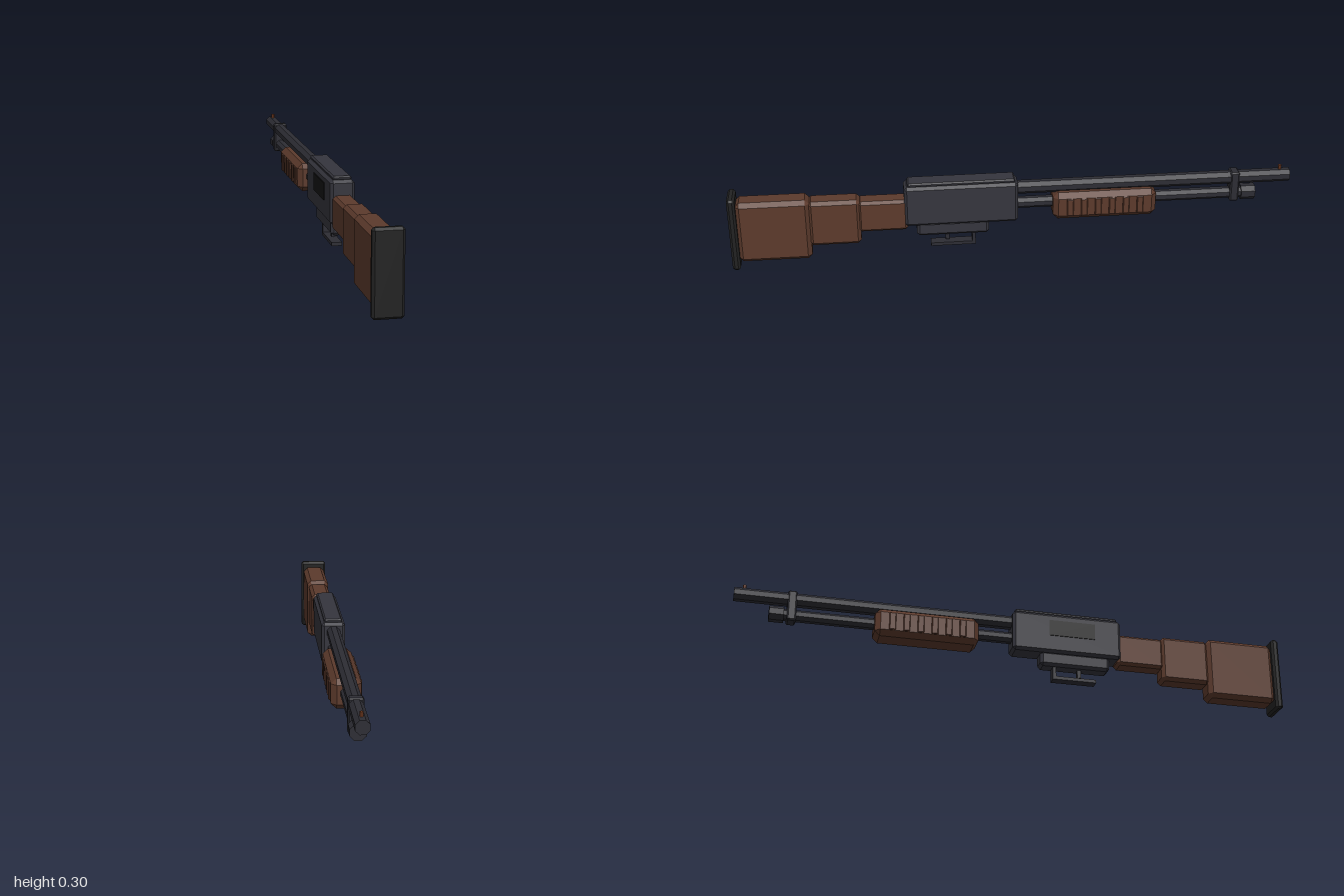
import * as THREE from 'three';
import { ConvexGeometry } from 'three/addons/geometries/ConvexGeometry.js';

const mat = (name, color) => {
  const m = new THREE.MeshStandardMaterial({ color, flatShading: true });
  m.name = name;
  return m;
};

// Box with all edges chamfered by c, given by its ranges in y and z and its half width
function chamferBox(hw, y0, y1, z0, z1, c, x = 0) {
  const hy = (y1 - y0) / 2, hz = (z1 - z0) / 2, pts = [];
  for (const i of [-1, 1]) for (const j of [-1, 1]) for (const k of [-1, 1]) {
    pts.push(
      new THREE.Vector3(i * hw, j * (hy - c), k * (hz - c)),
      new THREE.Vector3(i * (hw - c), j * hy, k * (hz - c)),
      new THREE.Vector3(i * (hw - c), j * (hy - c), k * hz));
  }
  return new ConvexGeometry(pts).translate(x, (y0 + y1) / 2, (z0 + z1) / 2);
}

// Eight-sided tube along z with flats facing up and sideways
function octTube(r, y, z0, z1) {
  return new THREE.CylinderGeometry(r, r, z1 - z0, 8)
    .rotateY(Math.PI / 8).rotateX(Math.PI / 2).translate(0, y, (z0 + z1) / 2);
}

export function createModel() {
  const wood = mat('brown wood', 0x5c3a2c);
  const rubber = mat('black rubber', 0x222222);
  const steel = mat('receiver steel', 0x35353d);
  const darkSteel = mat('barrel steel', 0x2d2d34);
  const black = mat('port black', 0x141414);
  const brass = mat('bead copper', 0x7a4024);

  const model = new THREE.Group();
  model.name = 'pumpActionGun';
  const add = (name, geometry, material) => {
    const mesh = new THREE.Mesh(geometry, material);
    mesh.name = name;
    model.add(mesh);
  };

  // Stepped stock with its end pad
  add('buttPad', chamferBox(0.05, 0, 0.278, 0.972, 1, 0.008), rubber);
  add('stockRear', chamferBox(0.042, 0.025, 0.257, 0.718, 0.975, 0.015), wood);
  add('stockMiddle', chamferBox(0.037, 0.075, 0.247, 0.542, 0.724, 0.012), wood);
  add('stockWrist', chamferBox(0.034, 0.12, 0.238, 0.375, 0.55, 0.01), wood);

  // Receiver with top rib and ejection port
  add('receiver', chamferBox(0.042, 0.137, 0.289, -0.015, 0.387, 0.01), steel);
  add('receiverRib', chamferBox(0.032, 0.286, 0.301, -0.005, 0.375, 0.005), steel);
  add('ejectionPort', new THREE.BoxGeometry(0.006, 0.06, 0.17).translate(-0.042, 0.232, 0.203), black);

  // Trigger group
  add('triggerHousing', chamferBox(0.03, 0.09, 0.145, 0.088, 0.345, 0.01), steel);
  add('guardBar', new THREE.BoxGeometry(0.036, 0.012, 0.16).translate(0, 0.049, 0.216), darkSteel);
  add('guardPost', new THREE.BoxGeometry(0.036, 0.045, 0.012).translate(0, 0.0715, 0.142), darkSteel);
  add('trigger', new THREE.BoxGeometry(0.014, 0.035, 0.014).translate(0, 0.079, 0.236), darkSteel);

  // Barrel, magazine tube and their clamp
  add('barrel', octTube(0.0245, 0.255, -1, 0), darkSteel);
  add('magazineTube', octTube(0.021, 0.194, -0.83, 0), darkSteel);
  add('magazineCap', octTube(0.0285, 0.194, -0.876, -0.825), darkSteel);
  add('barrelClamp', chamferBox(0.025, 0.167, 0.281, -0.815, -0.783, 0.005), darkSteel);
  add('beadSight', new THREE.CylinderGeometry(0.006, 0.006, 0.018, 6).translate(0, 0.284, -0.965), brass);

  // Sliding grip with ribs on both sides
  add('pumpGrip', chamferBox(0.05, 0.137, 0.24, -0.51, -0.14, 0.018), wood);
  for (const side of [-1, 1]) for (let i = 0; i < 6; i++) {
    const z = -0.2 - i * 0.05;
    add('pumpRib', chamferBox(0.006, 0.155, 0.222, z - 0.012, z + 0.012, 0.003, side * 0.049), wood);
  }
  return model;
}
